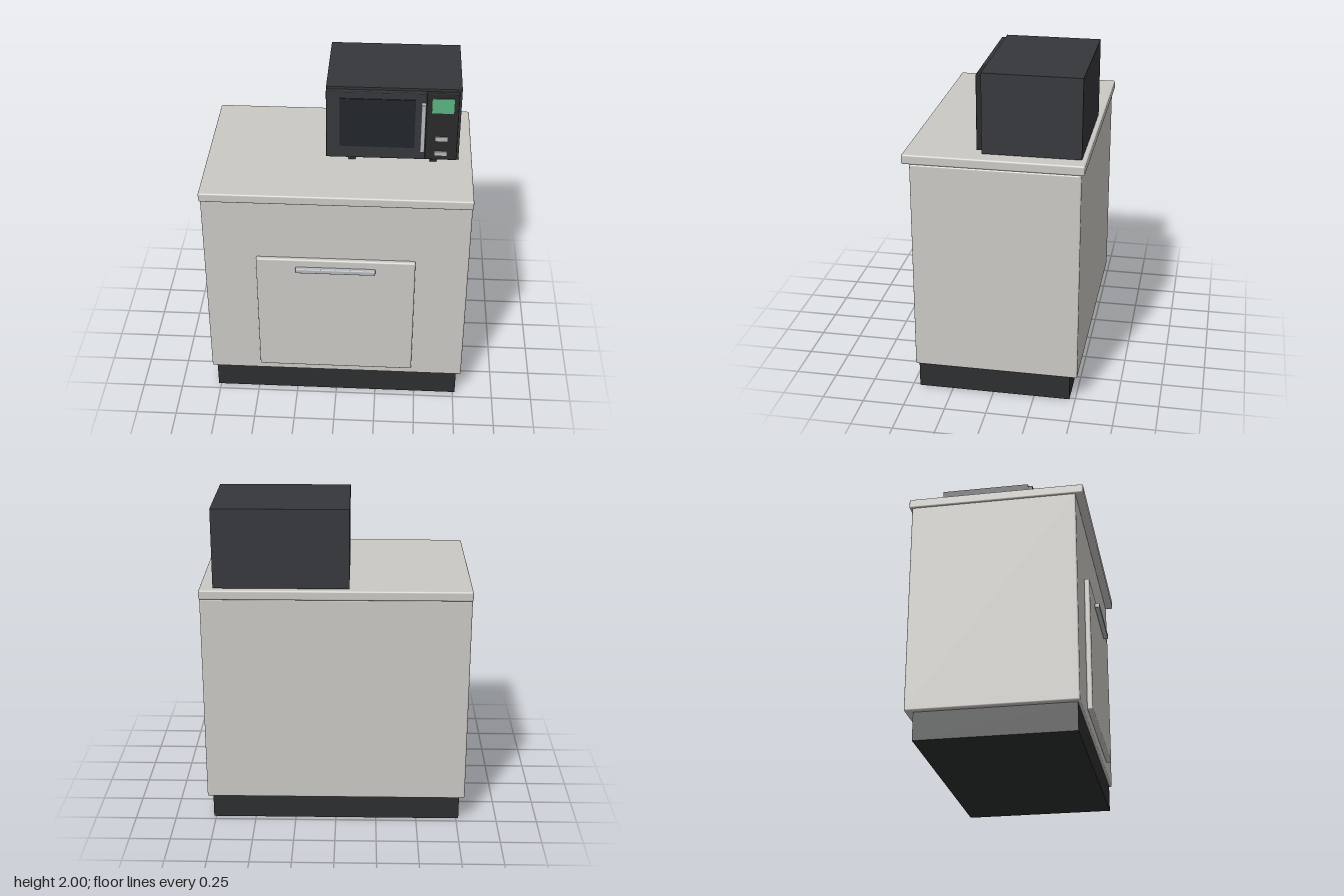
import * as THREE from 'three';
import { RoundedBoxGeometry } from 'three/addons/geometries/RoundedBoxGeometry.js';

const material = (color) => new THREE.MeshStandardMaterial({ color });

// Box given by its limits on each axis; a radius rounds the edges
function block(name, [x0, x1], [y0, y1], [z0, z1], mat, radius = 0) {
  const size = [x1 - x0, y1 - y0, z1 - z0];
  const geometry = radius
    ? new RoundedBoxGeometry(...size, 3, radius)
    : new THREE.BoxGeometry(...size);
  const mesh = new THREE.Mesh(geometry, mat);
  mesh.name = name;
  mesh.position.set((x0 + x1) / 2, (y0 + y1) / 2, (z0 + z1) / 2);
  return mesh;
}

function createCabinet(stone, dark, metal) {
  const cabinet = new THREE.Group();
  cabinet.name = 'cabinet';
  cabinet.add(
    block('plinth', [-0.766, 0.764], [0, 0.166], [-0.465, 0.457], dark),
    block('cabinetBody', [-0.796, 0.794], [0.166, 1.462], [-0.512, 0.472], stone, 0.01),
    block('countertop', [-0.798, 0.796], [1.462, 1.52], [-0.53, 0.517], stone, 0.01),
    block('frontPanel', [-0.48, 0.476], [0.228, 1.058], [0.472, 0.505], stone, 0.01),
    block('panelHandle', [-0.242, 0.238], [0.98, 1.01], [0.505, 0.535], metal, 0.006)
  );
  return cabinet;
}

function createMicrowave(shell, dark, metal) {
  const oven = new THREE.Group();
  oven.name = 'microwave';
  const glass = material(0x22262b);
  const panel = material(0x2a2a2b);
  oven.add(
    block('ovenBody', [-0.08, 0.714], [1.526, 2], [-0.503, 0.068], shell),
    block('ovenDoor', [-0.08, 0.51], [1.54, 1.986], [0.068, 0.1], shell, 0.004),
    block('controlPanel', [0.51, 0.7], [1.54, 1.986], [0.068, 0.1], panel, 0.004),
    block('doorWindow', [0, 0.446], [1.62, 1.942], [0.095, 0.105], glass),
    block('doorHandle', [0.479, 0.507], [1.605, 1.925], [0.1, 0.133], metal, 0.004),
    block('display', [0.542, 0.67], [1.86, 1.955], [0.095, 0.106], material(0x5bb583))
  );
  // Push buttons
  for (const y of [1.57, 1.67]) {
    oven.add(block('button', [0.566, 0.643], [y, y + 0.03], [0.095, 0.108], metal));
  }
  // Short feet, the front pair reaching under the door
  for (const x of [0.055, 0.54]) {
    for (const z of [-0.47, 0.05]) {
      oven.add(block('foot', [x, x + 0.042], [1.518, 1.538], [z, z + 0.04], dark));
    }
  }
  return oven;
}

export function createModel() {
  const model = new THREE.Group();
  model.name = 'kitchenCabinetWithMicrowave';
  const stone = material(0xcbc9c4);
  const dark = material(0x2d2e2f);
  const metal = material(0xb4b8bb);
  model.add(
    createCabinet(stone, dark, metal),
    createMicrowave(material(0x36373b), dark, metal)
  );
  return model;
}
